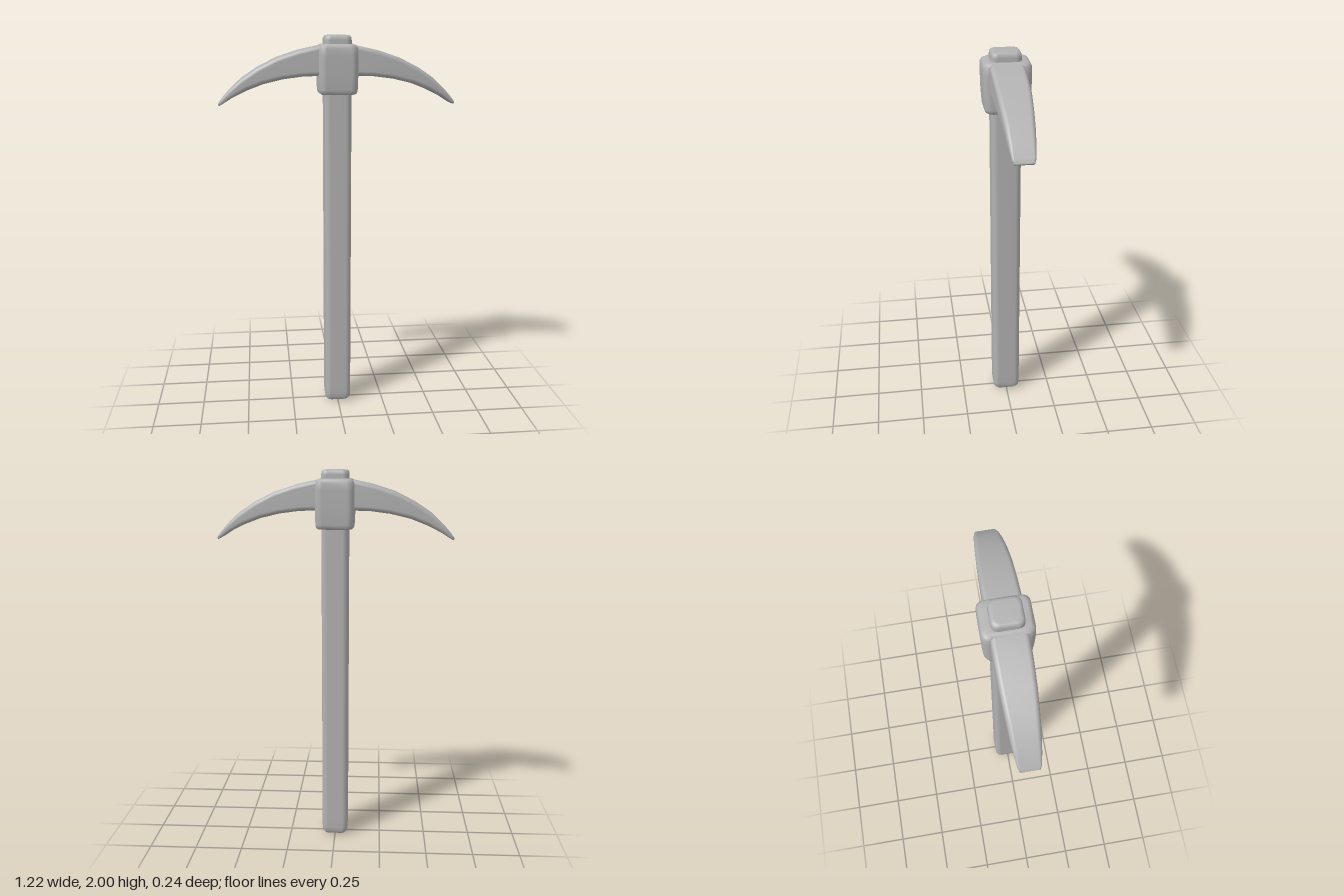
import * as THREE from 'three';

// Points of a rounded rectangle, counter-clockwise
function roundedRect(ha, hb, r, steps = 5) {
  const pts = [];
  [[1, 1], [-1, 1], [-1, -1], [1, -1]].forEach(([sa, sb], q) => {
    for (let i = 0; i <= steps; i++) {
      const t = (q + i / steps) * Math.PI / 2;
      pts.push([sa * (ha - r) + r * Math.cos(t), sb * (hb - r) + r * Math.sin(t)]);
    }
  });
  return pts;
}

// Smooth closed skin over a list of rings (arrays of Vector3)
function loft(rings) {
  const n = rings[0].length, pos = [], idx = [];
  rings.forEach(r => r.forEach(p => pos.push(p.x, p.y, p.z)));
  for (let k = 0; k < rings.length - 1; k++) {
    for (let i = 0; i < n; i++) {
      const a = k * n + i, b = k * n + (i + 1) % n;
      idx.push(a, b, a + n, b, b + n, a + n);
    }
  }
  [0, rings.length - 1].forEach(k => {
    const c = pos.length / 3;
    const mid = rings[k].reduce((s, p) => s.add(p), new THREE.Vector3()).divideScalar(n);
    pos.push(mid.x, mid.y, mid.z);
    for (let i = 0; i < n; i++) {
      const a = k * n + i, b = k * n + (i + 1) % n;
      if (k) idx.push(a, b, c); else idx.push(b, a, c);
    }
  });
  const g = new THREE.BufferGeometry();
  g.setAttribute('position', new THREE.Float32BufferAttribute(pos, 3));
  g.setIndex(idx);
  g.computeVertexNormals();
  return g;
}

// Upright post from rows of [y, half x, half z, corner radius]
const post = rows => loft(rows.map(([y, hx, hz, r]) =>
  roundedRect(hz, hx, r).map(([z, x]) => new THREE.Vector3(x, y, z))));

// Curved two-ended blade, from a top edge, a bottom edge and a half width
function bladeGeometry() {
  // top x, top y, bottom x, bottom y, half width
  const half = [
    [0.08, 1.952, 0.08, 1.8, 0.085], [0.2, 1.926, 0.18, 1.797, 0.084],
    [0.31, 1.89, 0.28, 1.784, 0.081], [0.41, 1.84, 0.38, 1.76, 0.075],
    [0.49, 1.787, 0.465, 1.727, 0.069], [0.555, 1.727, 0.54, 1.69, 0.061],
    [0.595, 1.68, 0.587, 1.66, 0.053], [0.608, 1.661, 0.602, 1.652, 0.046],
  ];
  const left = half.map(([a, b, c, d, w]) => [-a, b, -c, d, w]).reverse();
  return loft([...left, ...half].map(([tx, ty, bx, by, w]) => {
    const top = new THREE.Vector3(tx, ty, 0), bottom = new THREE.Vector3(bx, by, 0);
    const h = top.distanceTo(bottom) / 2;
    return roundedRect(h, w, Math.min(0.022, h * 0.8)).map(([a, z]) => {
      const p = bottom.clone().lerp(top, (a / h + 1) / 2);
      p.z = z;
      return p;
    });
  }));
}

export function createModel() {
  const group = new THREE.Group();
  const grey = new THREE.MeshStandardMaterial({ color: 0xb2b2b2 });
  grey.name = 'plain grey';
  const add = (name, geometry, z = 0) => {
    const mesh = new THREE.Mesh(geometry, grey);
    mesh.name = name;
    mesh.position.z = z;
    group.add(mesh);
  };

  // Squared handle with softened ends, passing through the head
  add('handle', post([
    [0, 0.035, 0.035, 0.02], [0.01, 0.058, 0.062, 0.026], [0.024, 0.068, 0.072, 0.03],
    [0.05, 0.07, 0.075, 0.03], [0.1, 0.07, 0.075, 0.03], [1.9, 0.07, 0.075, 0.03],
    [1.975, 0.07, 0.075, 0.03], [1.99, 0.068, 0.073, 0.03], [1.998, 0.061, 0.066, 0.028],
    [2, 0.05, 0.055, 0.025],
  ]));

  // Collar gripping the handle
  add('collar', post([
    [1.706, 0.07, 0.075, 0.03], [1.707, 0.086, 0.1, 0.034], [1.714, 0.095, 0.108, 0.036],
    [1.73, 0.098, 0.112, 0.036], [1.8, 0.1, 0.117, 0.036], [1.9, 0.1, 0.12, 0.036],
    [1.935, 0.098, 0.119, 0.036], [1.95, 0.091, 0.112, 0.036], [1.956, 0.08, 0.1, 0.034],
    [1.957, 0.065, 0.07, 0.03],
  ]), -0.002);

  // Head
  add('blade', bladeGeometry());
  return group;
}
